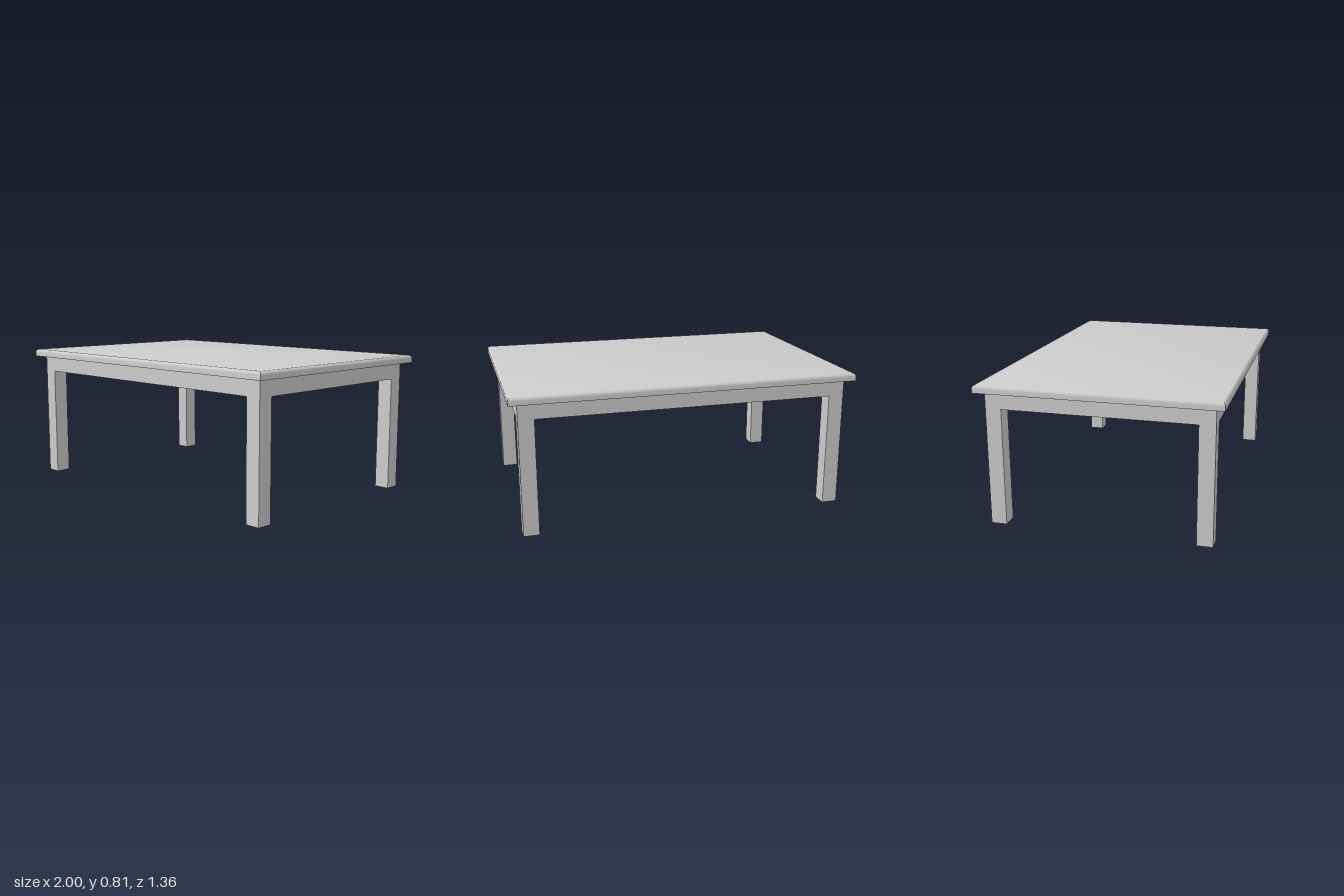
import * as THREE from 'three';
import { toCreasedNormals } from 'three/addons/utils/BufferGeometryUtils.js';

const W = 2, D = 1.36, H = 0.81;      // overall size
const UNDER = 0.765;                  // underside of the top
const LEG = 0.09, LEG_X = 0.905, LEG_Z = 0.585;
const APRON_T = 0.045, APRON_H = 0.095;

const material = new THREE.MeshStandardMaterial({ color: 0xcccccc });
const hollow = new THREE.MeshStandardMaterial({
  color: 0xcccccc, flatShading: true, side: THREE.DoubleSide,
});

// Slab with a quarter-round along its upper edge and mitred corners
function slabGeometry(radius, steps) {
  const t = H - UNDER;
  const g = new THREE.BoxGeometry(W, t, D, 1, steps + 1, 1);
  const p = g.attributes.position;
  for (let i = 0; i < p.count; i++) {
    const row = Math.round((p.getY(i) / t + 0.5) * (steps + 1));
    if (row === 0) continue;
    const a = ((row - 1) / steps) * Math.PI / 2;
    const inset = radius * (1 - Math.cos(a));
    p.setXYZ(i,
      Math.sign(p.getX(i)) * (W / 2 - inset),
      t / 2 - radius + radius * Math.sin(a),
      Math.sign(p.getZ(i)) * (D / 2 - inset));
  }
  return toCreasedNormals(g, 0.6);
}

export function createModel() {
  const table = new THREE.Group();
  table.name = 'table';

  function add(name, geometry, x, y, z, mat = material) {
    const mesh = new THREE.Mesh(geometry, mat);
    mesh.name = name;
    mesh.position.set(x, y, z);
    table.add(mesh);
  }

  add('tableTop', slabGeometry(0.02, 5), 0, (H + UNDER) / 2, 0);

  // Square legs, hollow and open at the foot
  const leg = new THREE.CylinderGeometry(LEG / Math.SQRT2, LEG / Math.SQRT2, UNDER, 4, 1, true);
  leg.rotateY(Math.PI / 4);
  for (const [sx, side] of [[1, 'Left'], [-1, 'Right']]) {
    for (const [sz, end] of [[1, 'front'], [-1, 'back']]) {
      add(`${end}${side}Leg`, leg, sx * LEG_X, UNDER / 2, sz * LEG_Z, hollow);
    }
  }

  // Aprons run between the legs, flush with their outer faces
  const offset = (LEG - APRON_T) / 2;
  const y = UNDER - APRON_H / 2;
  const longApron = new THREE.BoxGeometry(2 * LEG_X - LEG, APRON_H, APRON_T);
  const shortApron = new THREE.BoxGeometry(APRON_T, APRON_H, 2 * LEG_Z - LEG);
  for (const s of [1, -1]) {
    add(s > 0 ? 'frontApron' : 'backApron', longApron, 0, y, s * (LEG_Z + offset));
    add(s > 0 ? 'leftApron' : 'rightApron', shortApron, s * (LEG_X + offset), y, 0);
  }
  return table;
}
